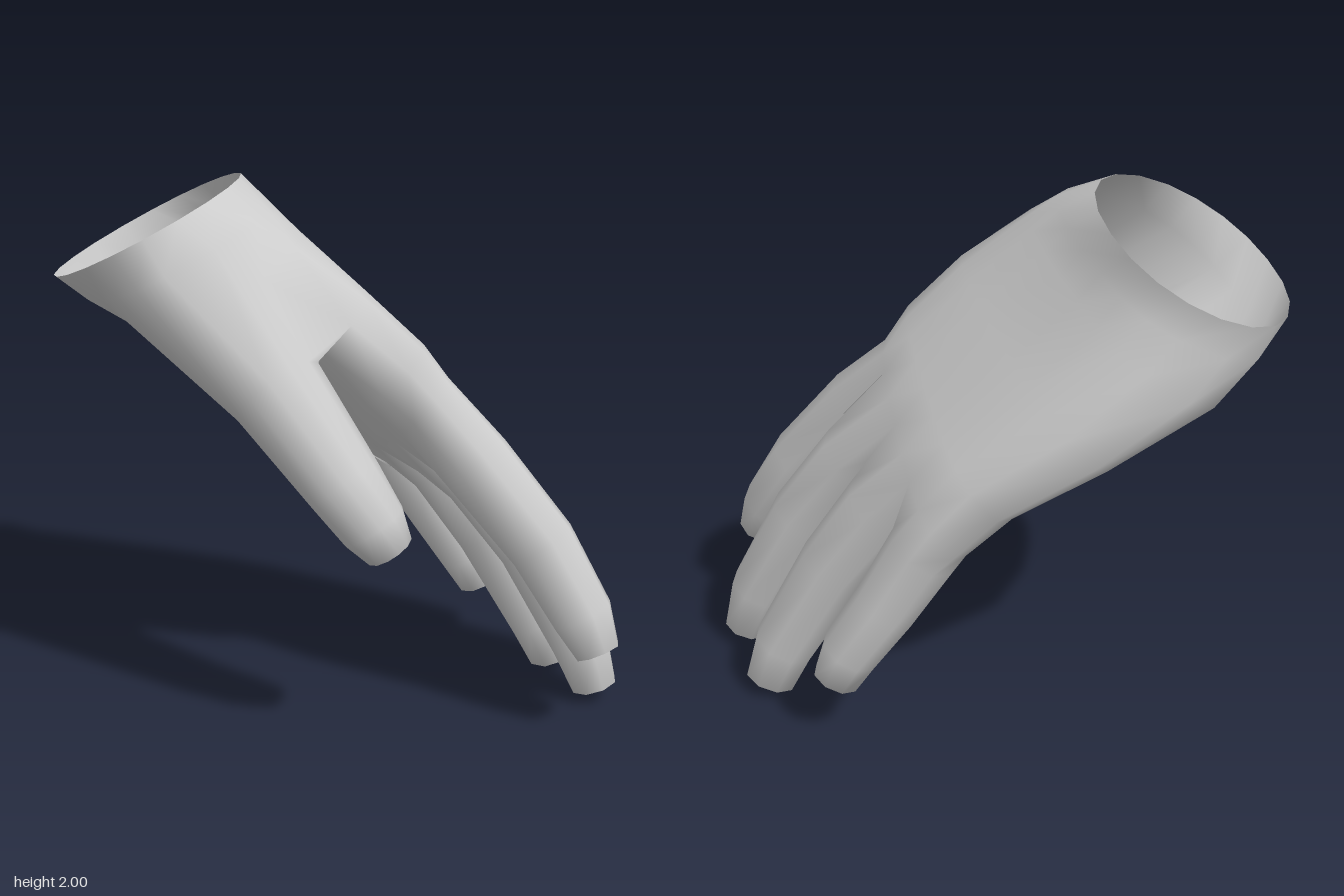
import * as THREE from 'three';

const V = (x, y, z) => new THREE.Vector3(x, y, z);
const SIDES = 20;

// Palm sections from wrist to knuckles: centre, half-width towards the index side,
// half-thickness towards the back of the hand, and squareness (0 oval, 1 flat)
const palmSections = [
  [V(-0.53, 1.82, -0.48), V(-0.11, 0.10, 0.48), V(0.395, 0.15, -0.05), 0.1],
  [V(-0.45, 1.72, -0.40), V(-0.11, 0.11, 0.53), V(0.34, 0.15, 0), 0.7],
  [V(-0.31, 1.60, -0.35), V(-0.11, 0.13, 0.57), V(0.26, 0.17, 0), 0.9],
  [V(-0.03, 1.40, -0.21), V(-0.12, 0.16, 0.58), V(0.16, 0.14, 0), 0.9],
  [V(0.20, 1.20, -0.07), V(-0.16, 0.18, 0.52), V(0.14, 0.12, 0), 1],
  [V(0.32, 1.06, -0.02), V(-0.17, 0.20, 0.48), V(0.12, 0.11, 0), 1],
];

// Joints after the knuckle: x, y, z, radius (index finger to little finger)
const fingers = [
  [[0.31, 1.01, 0.50, 0.14], [0.48, 0.72, 0.69, 0.132], [0.57, 0.47, 0.83, 0.118], [0.60, 0.34, 0.89, 0.085]],
  [[0.46, 0.89, 0.295, 0.145], [0.61, 0.62, 0.44, 0.132], [0.75, 0.25, 0.59, 0.118], [0.80, 0.06, 0.63, 0.09]],
  [[0.51, 0.84, -0.015, 0.15], [0.65, 0.57, 0.115, 0.138], [0.81, 0.20, 0.25, 0.122], [0.87, 0.04, 0.27, 0.10]],
  [[0.50, 0.80, -0.305, 0.135], [0.62, 0.57, -0.235, 0.122], [0.73, 0.36, -0.15, 0.112], [0.78, 0.24, -0.125, 0.09]],
];
const thumb = [[-0.41, 1.34, 0.30, 0.175], [-0.28, 1.04, 0.545, 0.14], [-0.21, 0.90, 0.625, 0.122], [-0.16, 0.81, 0.65, 0.09]];

export function createModel() {
  const points = [];
  const index = [];
  const add = (p) => points.push(p) - 1;
  const quad = (a, b, c, d) => index.push(a, b, c, a, c, d);

  // Ring order: 0 index side, 1-9 palm, 10 little-finger side, 11-19 back of hand
  const palmRing = ([centre, wide, thick, square]) => Array.from({ length: SIDES }, (_, j) => {
    const half = j <= 10 ? j : SIDES - j;
    const w = THREE.MathUtils.lerp(Math.cos(half * Math.PI / 10), 1 - half / 5, square * 0.5);
    const n = Math.sqrt(Math.max(0, 1 - Math.abs(w) ** (2 + 1.5 * square)));
    return add(centre.clone().addScaledVector(wide, w).addScaledVector(thick, j <= 10 ? -n : n));
  });

  // Grow a closed digit out of a loop of existing vertices
  const growDigit = (loop, joints) => {
    const root = loop.reduce((s, i) => s.add(points[i]), V(0, 0, 0)).divideScalar(loop.length);
    const path = [root, ...joints.map(([x, y, z]) => V(x, y, z))];
    const start = points[loop[0]].clone().sub(root);
    let previous = loop;
    joints.forEach((joint, k) => {
      const centre = path[k + 1];
      const along = (path[k + 2] || centre).clone().sub(path[k]).normalize();
      const a = start.clone().addScaledVector(along, -start.dot(along)).normalize();
      const b = along.clone().cross(a);
      const ring = loop.map((_, i) => {
        const t = i / loop.length * Math.PI * 2;
        return add(centre.clone().addScaledVector(a, Math.cos(t) * joint[3]).addScaledVector(b, Math.sin(t) * joint[3]));
      });
      ring.forEach((_, i) => {
        const n = (i + 1) % ring.length;
        quad(previous[i], previous[n], ring[n], ring[i]);
      });
      previous = ring;
    });
    // Blunt fingertip
    const tip = add(path.at(-1).clone().add(path.at(-1).clone().sub(path.at(-2)).setLength(0.015)));
    previous.forEach((v, i) => index.push(v, previous[(i + 1) % previous.length], tip));
  };

  // Palm and open wrist, leaving a gap for the thumb root
  const rings = palmSections.map(palmRing);
  for (let r = 0; r < rings.length - 1; r++) {
    for (let j = 0; j < SIDES; j++) {
      if ((r === 1 || r === 2) && j < 4) continue;
      const n = (j + 1) % SIDES;
      quad(rings[r][j], rings[r][n], rings[r + 1][n], rings[r + 1][j]);
    }
  }

  // Thumb
  growDigit([...rings[1].slice(0, 5), rings[2][4], ...rings[3].slice(0, 5).reverse(), rings[2][0]], thumb);

  // Fingers, sharing web vertices between neighbours
  const knuckles = rings.at(-1);
  const palmSide = (k) => knuckles[1 + k];
  const backSide = (k) => knuckles[19 - k];
  const webs = [0, 1, 2, 3, 4].map((i) => {
    if (i === 0) return knuckles[0];
    if (i === 4) return knuckles[10];
    return add(points[palmSide(2 * i)].clone().lerp(points[backSide(2 * i)], 0.5));
  });
  fingers.forEach((joints, i) => {
    const k = 2 * i;
    growDigit([webs[i], palmSide(k), palmSide(k + 1), palmSide(k + 2),
      webs[i + 1], backSide(k + 2), backSide(k + 1), backSide(k)], joints);
  });

  const geometry = new THREE.BufferGeometry().setFromPoints(points);
  geometry.setIndex(index);
  geometry.computeVertexNormals();
  const hand = new THREE.Mesh(geometry, new THREE.MeshStandardMaterial({ color: 0xcccccc, side: THREE.DoubleSide }));
  hand.name = 'hand';

  const group = new THREE.Group();
  group.name = 'openWristHand';
  group.add(hand);
  return group;
}
